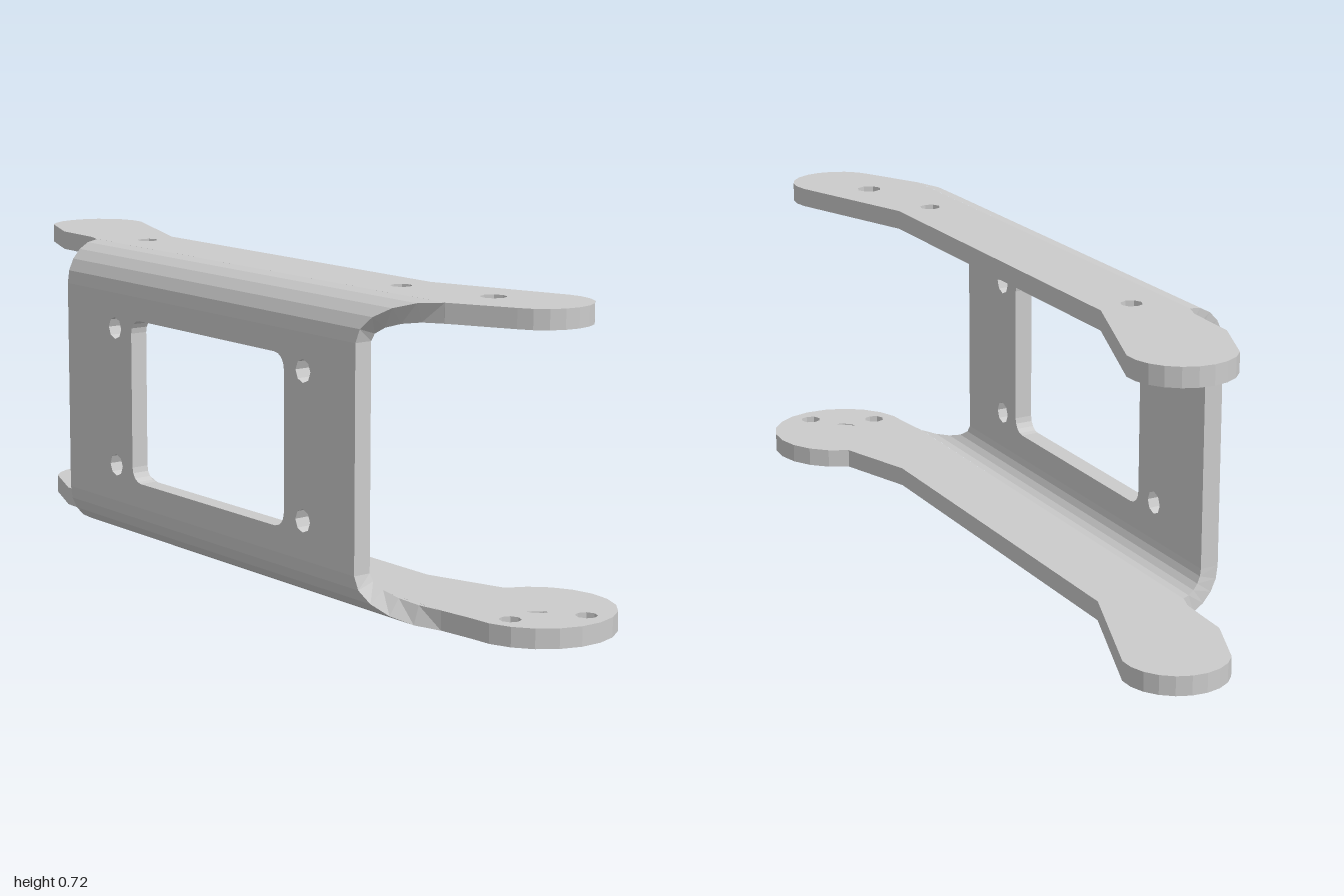
import * as THREE from 'three';

const H = 0.717, T = 0.045, R = 0.1;          // height, sheet thickness, outer bend radius
const FRONT = 0.53, BACK = -0.615;            // ends of the upright web
const webX = z => -0.2065 - 0.035 * z;        // outer face of the slightly skewed web
const rad = THREE.MathUtils.degToRad;
const mat = new THREE.MeshStandardMaterial({ color: 0xcccccc, flatShading: true });

// Points on an arc, angles in degrees, in plan coordinates (x, -z)
function arc(cx, cy, r, from, to, n) {
  return Array.from({ length: n + 1 }, (_, i) => {
    const a = rad(from + (to - from) * i / n);
    return new THREE.Vector2(cx + r * Math.cos(a), cy + r * Math.sin(a));
  });
}

function hole(x, y, r, n = 8) {
  return new THREE.Path(arc(x, y, r, 0, 360, n).slice(0, -1));
}

function extrude(points, holes) {
  const shape = new THREE.Shape(points);
  shape.holes.push(...holes);
  return new THREE.ExtrudeGeometry(shape, { depth: T, bevelEnabled: false });
}

// Horizontal arm: shared rear tongue and neck, with its own front end
function flange(name, y, frontEnd, holes) {
  const p = (x, z) => new THREE.Vector2(x, -z);
  const outline = [
    p(-0.131, 0.71), p(-0.085, -0.63), p(-0.071, -0.67), p(-0.065, -0.74), p(-0.06, -0.81),
    ...arc(0.1, 0.88, 0.12, 143, -10, 9),
    p(0.09, -0.55), p(0.055, 0.46),
    ...frontEnd,
  ];
  const g = extrude(outline, [hole(0.003, 0.535, 0.025), hole(-0.032, -0.46, 0.025), ...holes]);
  g.rotateX(-Math.PI / 2).translate(0, y, 0);
  const mesh = new THREE.Mesh(g, mat);
  mesh.name = name;
  return mesh;
}

// Upright web with a rounded window and four screw holes, sheared to its skew
function web() {
  const p = (z, y) => new THREE.Vector2(-z, y);
  const c = 0.035;
  const window = new THREE.Path([
    ...arc(0.335 - c, 0.56 - c, c, 0, 90, 4), ...arc(-0.275 + c, 0.56 - c, c, 90, 180, 4),
    ...arc(-0.275 + c, 0.16 + c, c, 180, 270, 4), ...arc(0.335 - c, 0.16 + c, c, 270, 360, 4),
  ]);
  const holes = [window];
  for (const z of [0.345, -0.405]) for (const y of [0.19, 0.53]) holes.push(hole(-z, y, 0.027));
  const g = extrude([p(FRONT, R), p(BACK, R), p(BACK, H - R), p(FRONT, H - R)], holes);
  g.rotateY(Math.PI / 2);
  const pos = g.attributes.position;
  for (let i = 0; i < pos.count; i++) pos.setX(i, pos.getX(i) + webX(pos.getZ(i)));
  g.computeVertexNormals();
  const mesh = new THREE.Mesh(g, mat);
  mesh.name = 'web';
  return mesh;
}

// Quarter bend between web and arm, flaring forward as it turns into the arm
function bend(name, top) {
  const steps = 5, rings = [], verts = [];
  for (let i = 0; i <= steps; i++) {
    const t = Math.PI / 2 * i / steps;
    const off = R * (1 - Math.cos(t));
    const zf = FRONT + 1.8 * off, zb = BACK - 0.15 * off;
    const pt = (r, z) => {
      const y = R - r * Math.sin(t);
      return [webX(z) + R - r * Math.cos(t), top ? H - y : y, z];
    };
    rings.push([pt(R, zf), pt(R, zb), pt(R - T, zb), pt(R - T, zf)]);
  }
  for (let i = 0; i < steps; i++) for (let j = 0; j < 4; j++) {
    const k = (j + 1) % 4;
    const [a, b, c, d] = [rings[i][j], rings[i][k], rings[i + 1][k], rings[i + 1][j]];
    verts.push(...(top ? [a, c, b, a, d, c] : [a, b, c, a, c, d]).flat());
  }
  const g = new THREE.BufferGeometry();
  g.setAttribute('position', new THREE.Float32BufferAttribute(verts, 3));
  g.computeVertexNormals();
  const mesh = new THREE.Mesh(g, mat);
  mesh.name = name;
  return mesh;
}

export function createModel() {
  const model = new THREE.Group();
  model.name = 'bracket';

  // Round mounting disc with a centre bore and a ring of four screw holes
  const discHoles = [hole(0.05, -0.82, 0.048, 12)];
  for (let i = 0; i < 4; i++) {
    const a = rad(17 + 90 * i);
    discHoles.push(hole(0.05 + 0.12 * Math.cos(a), -0.82 + 0.12 * Math.sin(a), 0.025));
  }

  model.add(
    web(),
    bend('lowerBend', false),
    bend('upperBend', true),
    flange('lowerArm', 0, arc(0.05, -0.82, 0.175, 70, -187, 15), discHoles),
    flange('upperArm', H - T, arc(0.045, -0.82, 0.115, 15, -160, 10), [hole(0.012, -0.708, 0.03)]),
  );
  return model;
}
